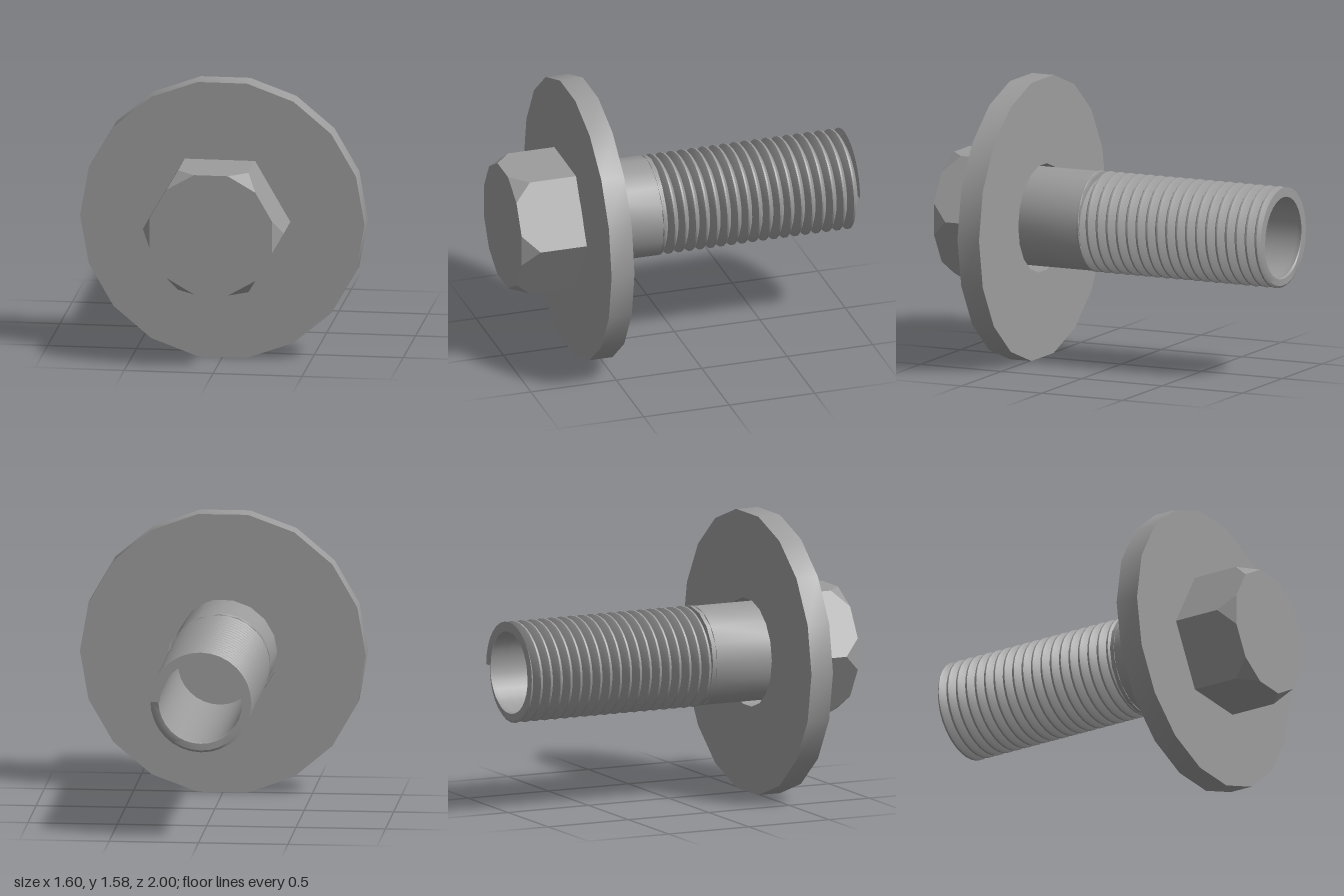
import * as THREE from 'three';
import { toCreasedNormals } from 'three/addons/utils/BufferGeometryUtils.js';
import { ConvexGeometry } from 'three/addons/geometries/ConvexGeometry.js';

const material = new THREE.MeshStandardMaterial({ color: 0x9c9c9c });

function part(name, geometry, x, y, z) {
  const mesh = new THREE.Mesh(toCreasedNormals(geometry, 0.45), material);
  mesh.name = name;
  mesh.position.set(x, y, z);
  return mesh;
}

// Regular polygon outline with its first corner on +x
function polygon(radius, sides, Target) {
  const points = [];
  for (let i = 0; i < sides; i++) {
    const a = (i / sides) * Math.PI * 2;
    points.push(new THREE.Vector2(radius * Math.cos(a), radius * Math.sin(a)));
  }
  return new Target(points);
}

// Flat ring with a slightly oversized hole
function washerGeometry() {
  const shape = polygon(0.8, 18, THREE.Shape);
  shape.holes.push(polygon(0.306, 18, THREE.Path));
  return new THREE.ExtrudeGeometry(shape, { depth: 0.134, bevelEnabled: false });
}

// Hexagonal prism whose six front corners are cut off
function headGeometry() {
  const radius = 0.396, depth = 0.365, cutDepth = 0.095, cut = 0.26;
  const corners = [];
  for (let i = 0; i < 6; i++) {
    const a = (i * Math.PI) / 3;
    corners.push(new THREE.Vector3(radius * Math.cos(a), radius * Math.sin(a), 0));
  }
  const points = [];
  corners.forEach((c, i) => {
    const front = new THREE.Vector3(0, 0, depth);
    const next = corners[(i + 1) % 6];
    points.push(c, c.clone().setZ(depth - cutDepth));
    points.push(c.clone().lerp(next, cut).add(front), next.clone().lerp(c, cut).add(front));
  });
  return new ConvexGeometry(points);
}

// Hollow helical thread: a closed tooth profile swept around z, trimmed flat at both ends
function threadGeometry(zMin, zMax) {
  const pitch = 0.0617, segments = 32;
  const profile = [ // [fraction of pitch, radius]
    [0, 0.238], [0.28, 0.272], [0.42, 0.284], [0.58, 0.284], [0.72, 0.272], [1, 0.238],
    [1, 0.234], [0.5, 0.229], [0, 0.234], // shallow groove on the inside
  ];
  const n = profile.length;
  const steps = Math.ceil(((zMax - zMin) / pitch + 1) * segments);
  const positions = [], index = [];
  for (let i = 0; i <= steps; i++) {
    const a = (i / segments) * Math.PI * 2;
    profile.forEach(([f, r], j) => {
      const z = zMin + pitch * (i / segments - 1 + f);
      positions.push(r * Math.cos(a), r * Math.sin(a), THREE.MathUtils.clamp(z, zMin, zMax));
      if (i < steps) {
        const p = i * n + j, q = i * n + ((j + 1) % n);
        index.push(p, p + n, q + n, p, q + n, q);
      }
    });
  }
  const geometry = new THREE.BufferGeometry();
  geometry.setAttribute('position', new THREE.Float32BufferAttribute(positions, 3));
  geometry.setIndex(index);
  return geometry;
}

export function createModel() {
  const group = new THREE.Group();
  group.name = 'boltWithWasher';
  const x = -0.012, y = 0.796; // bolt axis, slightly off the washer centre

  group.add(part('washer', washerGeometry(), 0, 0.788, 0.49));
  group.add(part('head', headGeometry(), x, 0.793, 0.635));

  // Smooth shank between head and thread
  const shank = new THREE.CylinderGeometry(0.283, 0.283, 0.51, 16);
  shank.rotateY(Math.PI / 2).rotateX(Math.PI / 2);
  group.add(part('shank', shank, x, y, 0.385));

  // Thread runs out slightly into the shank
  group.add(part('thread', threadGeometry(-1, 0.155), x, y, 0));
  return group;
}
